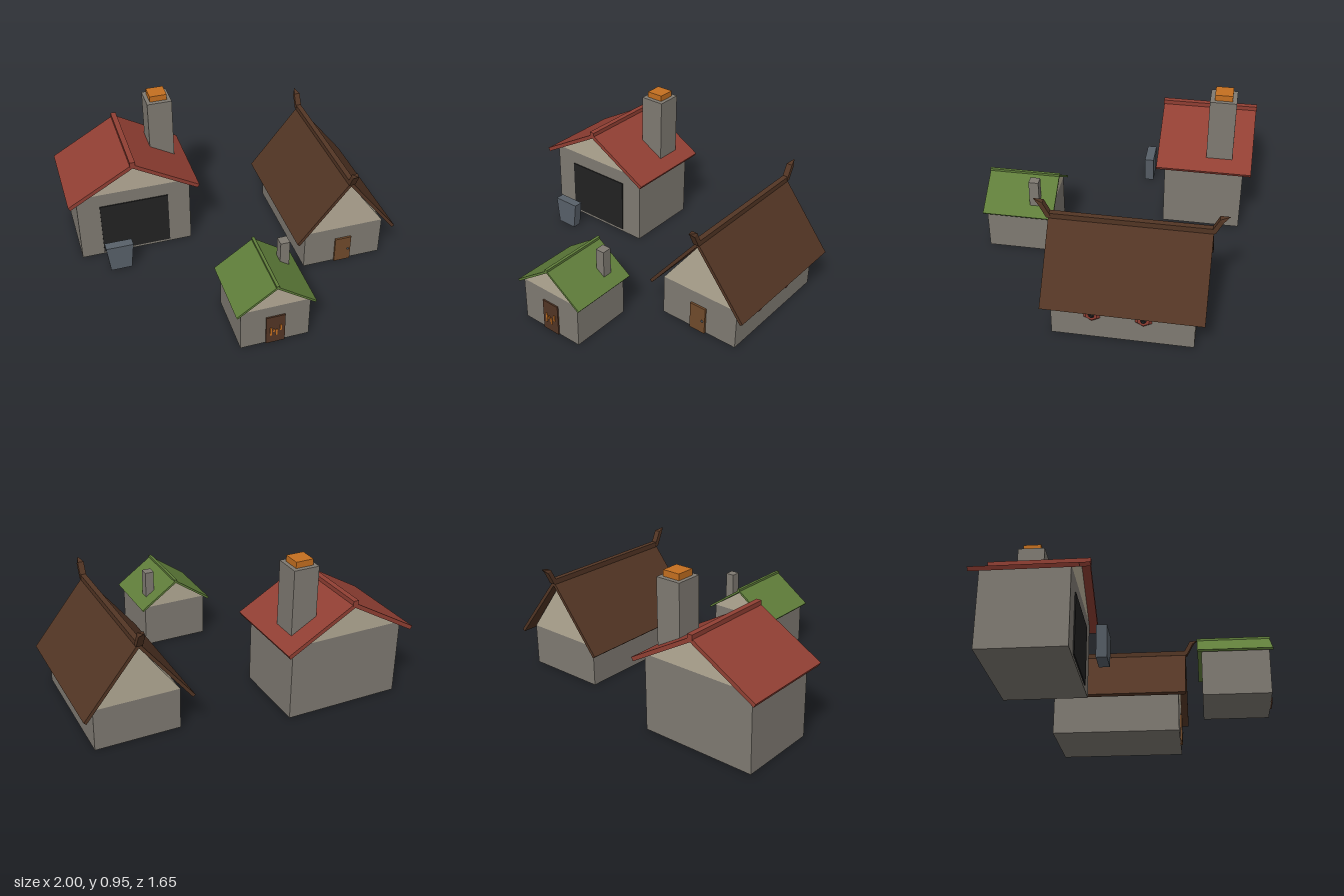
import * as THREE from 'three';

const mat = (name, color) => Object.assign(new THREE.MeshStandardMaterial({ color, flatShading: true }), { name });

export function createModel() {
  const stone = mat('stone', 0x7f7a72);
  const plaster = mat('plaster', 0xb5ab96);
  const redTile = mat('red tile', 0x913f33);
  const greenTurf = mat('green turf', 0x5f7d3a);
  const darkWood = mat('dark wood', 0x523524);
  const doorWood = mat('door wood', 0x704a2b);
  const soot = mat('soot', 0x222222);
  const ember = mat('ember', 0xc46f20);
  const steel = mat('steel', 0x586069);

  const model = new THREE.Group();
  model.name = 'village';

  const add = (parent, name, geometry, material) => {
    const mesh = new THREE.Mesh(geometry, material);
    mesh.name = name;
    parent.add(mesh);
    return mesh;
  };
  // Box given by its lower and upper limits
  const box = (parent, name, material, x0, x1, y0, y1, z0, z1) => {
    const mesh = add(parent, name, new THREE.BoxGeometry(x1 - x0, y1 - y0, z1 - z0), material);
    mesh.position.set((x0 + x1) / 2, (y0 + y1) / 2, (z0 + z1) / 2);
    return mesh;
  };
  // Outline in x and y, pulled along z
  const prism = (points, z0, z1) =>
    new THREE.ExtrudeGeometry(new THREE.Shape(points.map(p => new THREE.Vector2(...p))),
      { depth: z1 - z0, bevelEnabled: false }).translate(0, 0, z0);

  // Walls, gable prism, chevron roof and ridge beam
  function house(name, o) {
    const g = new THREE.Group();
    g.name = name;
    model.add(g);
    const { cx, halfWall, wallTop, wallZ, halfRoof, eave, apex, thick, roofZ, ridge, roofMat } = o;
    box(g, 'walls', stone, cx - halfWall, cx + halfWall, 0, wallTop, ...wallZ);
    const angle = Math.atan2(apex - eave, halfRoof);
    const under = apex - thick / Math.cos(angle);
    const gable = add(g, 'gable', prism([[-halfWall, wallTop], [halfWall, wallTop], [0, under - 0.002]], ...wallZ), plaster);
    gable.position.x = cx;
    const ix = halfRoof - thick * Math.sin(angle), iy = eave - thick * Math.cos(angle);
    const roof = add(g, 'roof', prism(
      [[0, apex], [-halfRoof, eave], [-ix, iy], [0, under], [ix, iy], [halfRoof, eave]], ...roofZ), roofMat);
    roof.position.x = cx;
    box(g, 'ridgeBeam', roofMat, cx - ridge / 2, cx + ridge / 2, o.ridgeTop - ridge, o.ridgeTop,
      roofZ[0] - 0.003, roofZ[1] + 0.003);
    return g;
  }

  // Smithy with a wide opening and a glowing chimney
  const smithy = house('smithy', {
    cx: -0.577, halfWall: 0.367, wallTop: 0.476, wallZ: [-0.77, -0.27],
    halfRoof: 0.423, eave: 0.457, apex: 0.7, thick: 0.025, roofZ: [-0.82, -0.22],
    ridge: 0.034, ridgeTop: 0.717, roofMat: redTile,
  });
  box(smithy, 'forgeOpening', soot, -0.8, -0.356, 0.02, 0.385, -0.272, -0.263);
  box(smithy, 'chimney', stone, -0.4, -0.24, 0.3, 0.914, -0.695, -0.53);
  box(smithy, 'chimneyEmbers', ember, -0.376, -0.265, 0.9, 0.952, -0.668, -0.558);

  // Steel block, narrower at the foot
  add(model, 'anvil', prism([[-0.79, 0], [-0.655, 0], [-0.634, 0.18], [-0.81, 0.18]], -0.15, -0.09), steel);

  // Small cottage
  const cottage = house('cottage', {
    cx: 0.008, halfWall: 0.212, wallTop: 0.278, wallZ: [0.4, 0.8],
    halfRoof: 0.243, eave: 0.272, apex: 0.443, thick: 0.013, roofZ: [0.375, 0.82],
    ridge: 0.018, ridgeTop: 0.451, roofMat: greenTurf,
  });
  box(cottage, 'chimney', stone, 0.127, 0.185, 0.24, 0.492, 0.469, 0.53);
  box(cottage, 'door', darkWood, -0.05, 0.067, 0, 0.203, 0.795, 0.809);
  [[-0.021, 0.06, 0.12], [-0.003, 0.085, 0.105], [0.015, 0.055, 0.1], [0.04, 0.09, 0.13]].forEach(([x, y0, y1]) =>
    box(cottage, 'doorMark', ember, x - 0.005, x + 0.005, y0, y1, 0.807, 0.813));

  // Longhouse with a steep roof
  const longhouse = house('longhouse', {
    cx: 0.667, halfWall: 0.262, wallTop: 0.262, wallZ: [-0.58, 0.24],
    halfRoof: 0.332, eave: 0.235, apex: 0.65, thick: 0.02, roofZ: [-0.635, 0.288],
    ridge: 0.033, ridgeTop: 0.663, roofMat: darkWood,
  });
  box(longhouse, 'door', doorWood, 0.612, 0.72, 0, 0.178, 0.235, 0.253);
  const knob = add(longhouse, 'doorKnob', new THREE.SphereGeometry(0.008, 8, 6), steel);
  knob.position.set(0.702, 0.085, 0.255);

  // Curved ridge horns, pinched to a point at the tip
  [[0.288, 1], [-0.635, -1]].forEach(([z, side]) => {
    const horn = prism([[-0.012, 0.635], [0.01, 0.635], [0.05, 0.715], [0.082, 0.745], [0.028, 0.732], [-0.012, 0.652]], -0.019, 0.019);
    const p = horn.attributes.position;
    for (let i = 0; i < p.count; i++) if (p.getX(i) > 0.07) p.setZ(i, p.getZ(i) * 0.1);
    horn.computeVertexNormals();
    const mesh = add(longhouse, 'ridgeHorn', horn, darkWood);
    mesh.rotation.y = -side * Math.PI / 2;
    mesh.position.set(0.667, 0, z);
  });

  // Six-sided shields on the left wall
  for (const z of [0.004, -0.29]) {
    const shield = new THREE.Group();
    shield.name = 'shield';
    shield.position.set(0.928, 0.175, z);
    shield.rotation.z = -Math.PI / 2;
    longhouse.add(shield);
    const plate = add(shield, 'shieldPlate', new THREE.CylinderGeometry(0.036, 0.055, 0.016, 6), redTile);
    plate.rotation.y = Math.PI / 2;
    plate.position.y = 0.008;
    const boss = add(shield, 'shieldBoss', new THREE.CylinderGeometry(0.009, 0.018, 0.012, 8), soot);
    boss.position.y = 0.021;
  }
  return model;
}
